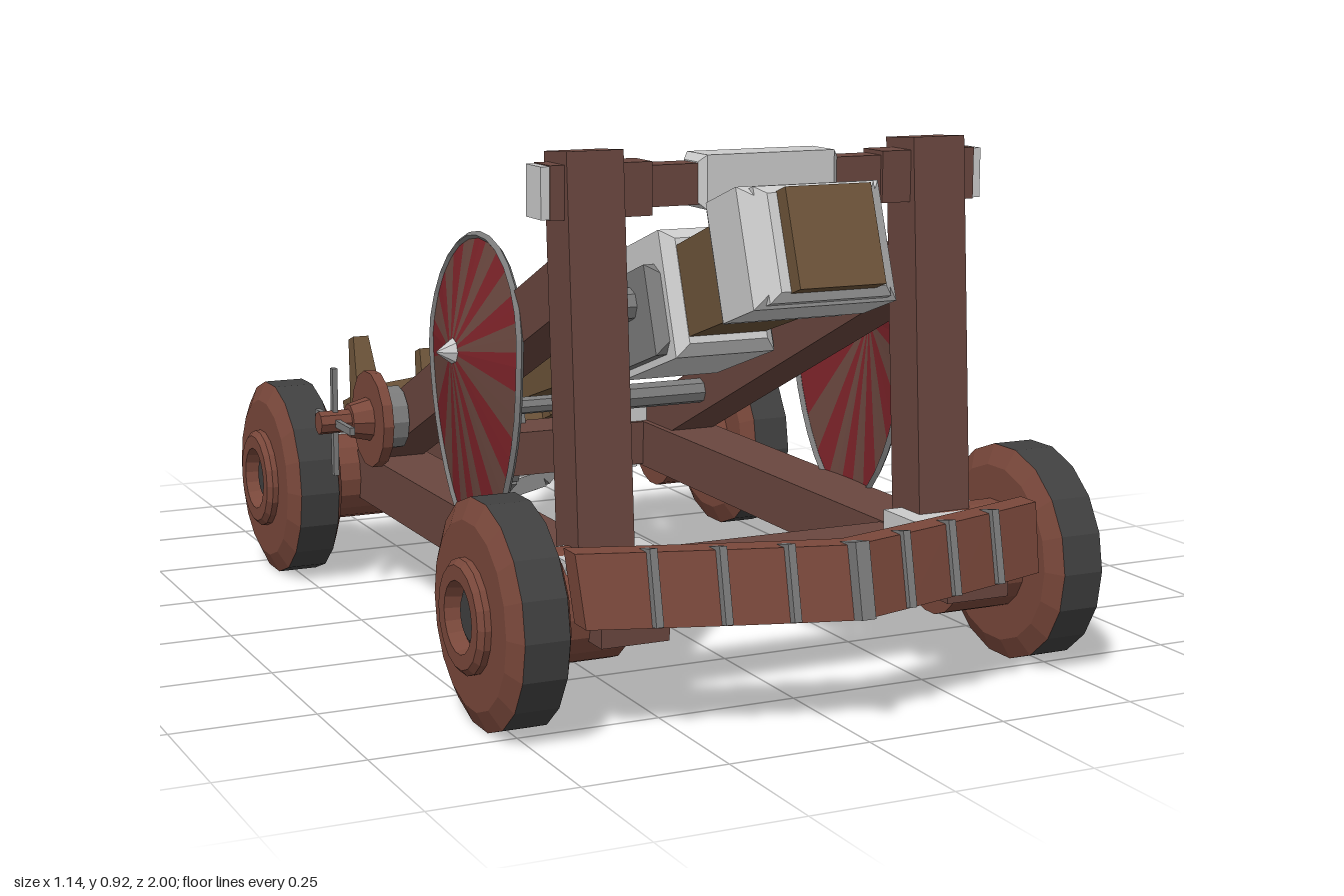
import * as THREE from 'three';

const mat = (color) => new THREE.MeshStandardMaterial({ color, flatShading: true, side: THREE.DoubleSide });
const WOOD = mat(0x6a473f), HUB = mat(0x7a483b), ARM = mat(0x6e553a), RED = mat(0x7c2329);
const STEEL = mat(0xcccccc), IRON = mat(0x7c7c7c), TYRE = mat(0x404040);
const V = (x, y, z) => new THREE.Vector3(x, y, z);

function add(parent, name, geo, material, x = 0, y = 0, z = 0) {
  const m = new THREE.Mesh(geo, material);
  m.name = name;
  m.position.set(x, y, z);
  parent.add(m);
  return m;
}
const box = (p, name, material, w, h, d, x, y, z) => add(p, name, new THREE.BoxGeometry(w, h, d), material, x, y, z);

// Square bar of width w and height h between two points
function bar(p, name, material, a, b, w, h) {
  const m = box(p, name, material, w, h, a.distanceTo(b), 0, 0, 0);
  m.position.copy(a).add(b).multiplyScalar(0.5);
  m.quaternion.setFromUnitVectors(V(0, 0, 1), b.clone().sub(a).normalize());
  return m;
}

// Round rod along x
function rod(p, name, material, x0, x1, y, z, r0, r1 = r0, sides = 8) {
  const geo = new THREE.CylinderGeometry(r1, r0, x1 - x0, sides).rotateZ(-Math.PI / 2);
  return add(p, name, geo, material, (x0 + x1) / 2, y, z);
}

// Box with bevelled edges at both z ends
function bevelBox(w, h, d, c) {
  const a = w / 2 - c, b = h / 2 - c;
  const s = new THREE.Shape([[-a, -b], [a, -b], [a, b], [-a, b]].map((q) => new THREE.Vector2(...q)));
  const geo = new THREE.ExtrudeGeometry(s, { depth: d - 2 * c, bevelEnabled: true, bevelSize: c, bevelThickness: c, bevelSegments: 1 });
  return geo.translate(0, 0, c - d / 2);
}

function lathe(points) {
  return new THREE.LatheGeometry(points.map((q) => new THREE.Vector2(...q)), 18).rotateZ(-Math.PI / 2);
}

// Wheel with dark tread, bevelled wooden sides and recessed hub
function wheel(parent, side, z) {
  const g = new THREE.Group();
  g.name = 'wheel';
  add(g, 'tread', lathe([[0.19, -0.038], [0.19, 0.038]]), TYRE);
  add(g, 'wheelSides', lathe([[0.09, -0.055], [0.155, -0.055], [0.19, -0.038]]), HUB);
  add(g, 'wheelFace', lathe([[0.19, 0.038], [0.155, 0.055], [0.09, 0.055]]), HUB);
  add(g, 'hub', lathe([[0, -0.185], [0.095, -0.185], [0.095, 0.066], [0.085, 0.075], [0.06, 0.075], [0.055, 0.045]]), HUB);
  add(g, 'axleEnd', lathe([[0.055, 0.047], [0.04, 0.055], [0, 0.055]]), TYRE);
  g.position.set(side * 0.495, 0.19, z);
  if (side < 0) g.rotation.y = Math.PI;
  parent.add(g);
}

// Teardrop shield: shallow cone with alternating red and wooden sectors
function shield(parent, side) {
  const g = new THREE.Group();
  g.name = 'shield';
  const N = 48;
  const rim = (i) => {
    const t = (i / N) * Math.PI * 2, c = Math.cos(t), s = Math.sin(t);
    const y = s > 0 ? 0.2 * s : 0.345 * s;
    const z = s > 0 ? 0.205 * c : 0.205 * c * (1 - 0.18 * s * s);
    return [-0.045 + (s > 0 ? -0.015 * s : 0), y, z];
  };
  [RED, WOOD].forEach((m, k) => {
    const pos = [];
    for (let i = 0; i < N; i++) {
      if (Math.floor(((i + 1) % N) / 2) % 2 === k) pos.push(0, 0, 0, ...rim(i + 1), ...rim(i));
    }
    const geo = new THREE.BufferGeometry();
    geo.setAttribute('position', new THREE.Float32BufferAttribute(pos, 3));
    geo.computeVertexNormals();
    add(g, k ? 'woodSectors' : 'redSectors', geo, m);
  });
  const edge = Array.from({ length: N / 2 }, (_, i) => V(...rim(i * 2)));
  add(g, 'shieldRim', new THREE.TubeGeometry(new THREE.CatmullRomCurve3(edge, true), 32, 0.007, 4, true), IRON);
  rod(g, 'boss', STEEL, -0.005, 0.025, 0, 0, 0.024, 0.002);
  g.position.set(side * 0.42, 0.545, 0.265);
  g.scale.x = side;
  parent.add(g);
}

// Throwing arm with counterweight, pivot sleeve and basket; it runs along local -z
function throwingArm(parent) {
  const g = new THREE.Group();
  g.name = 'throwingArm';
  g.position.set(0, 0.795, 0.868);
  g.rotation.x = -0.335;
  parent.add(g);

  const beam = new THREE.BoxGeometry(1, 1, 1.46, 1, 1, 6).translate(0, 0, -0.73);
  const p = beam.attributes.position;
  for (let i = 0; i < p.count; i++) {
    const t = Math.max(0, -p.getZ(i) - 0.4) / 1.06;
    p.setX(i, p.getX(i) * (0.155 - 0.115 * t));
    p.setY(i, p.getY(i) * (0.165 - 0.085 * t));
  }
  add(g, 'beam', beam, ARM);
  add(g, 'counterweight', bevelBox(0.26, 0.2, 0.16, 0.025), STEEL, 0, 0, -0.12);
  add(g, 'counterweightCollar', bevelBox(0.22, 0.19, 0.2, 0.015), STEEL, 0, 0, -0.13);
  add(g, 'pivotSleeve', bevelBox(0.19, 0.225, 0.27, 0.02), STEEL, 0, 0, -0.55);
  add(g, 'pivotCollar', bevelBox(0.23, 0.16, 0.2, 0.02), IRON, 0, -0.02, -0.55);

  const basket = new THREE.Group();
  basket.name = 'basket';
  basket.position.set(0, 0.005, -1.68);
  g.add(basket);
  // Octagonal hoop
  const octagon = (r) => Array.from({ length: 8 }, (_, i) => {
    const a = ((i + 0.5) * Math.PI) / 4, R = r / Math.cos(Math.PI / 8);
    return new THREE.Vector2(R * Math.cos(a), R * Math.sin(a));
  });
  const hoop = new THREE.Shape(octagon(0.25));
  hoop.holes.push(new THREE.Path(octagon(0.205)));
  add(basket, 'hoop', new THREE.ExtrudeGeometry(hoop, { depth: 0.08, bevelEnabled: false }).rotateX(-Math.PI / 2), ARM, 0, -0.04, 0);
  for (let k = 0; k < 4; k++) {
    const q = new THREE.Group();
    q.name = 'basketQuarter';
    q.rotation.y = (k * Math.PI) / 2;
    basket.add(q);
    // Tapered prong and its fitting
    const prong = new THREE.CylinderGeometry(0.024, 0.045, 0.2, 4).rotateY(Math.PI / 4);
    add(q, 'prong', prong, ARM, 0, 0.06, 0.232);
    box(q, 'fitting', IRON, 0.05, 0.05, 0.025, 0, -0.01, 0.253);
    // Iron strap curving under the basket
    const path = [V(0, -0.02, 0.225), V(0, -0.11, 0.215), V(0, -0.185, 0.14), V(0, -0.215, 0)];
    for (let i = 0; i < 3; i++) bar(q, 'strap', IRON, path[i], path[i + 1], 0.06, 0.035);
  }
}

// Bowed ram of angled planks with iron ribs
function ram(parent) {
  const bow = (x) => 0.935 - 0.27 * Math.abs(x) - 0.08 * x * x;
  const n = 8, step = 0.106;
  for (let i = 0; i < n; i++) {
    const x0 = (i - n / 2) * step, x1 = x0 + step;
    const plank = new THREE.BoxGeometry(1, 0.117, 0.045);
    const p = plank.attributes.position;
    for (let j = 0; j < p.count; j++) {
      const x = p.getX(j) < 0 ? x0 : x1, y = p.getY(j);
      p.setXYZ(j, x * (1 + 0.15 * y), y, p.getZ(j) + bow(x) - y * 0.22);
    }
    add(parent, 'ramPlank', plank, HUB, 0, 0.253, 0);
  }
  for (let i = -3; i <= 3; i++) {
    const x = i * 0.105, z = bow(x);
    const rib = box(parent, 'ramRib', IRON, i ? 0.013 : 0.025, 0.124, i ? 0.06 : 0.08, x, 0.253, z + 0.005);
    rib.rotation.x = -0.21;
  }
}

export function createModel() {
  const g = new THREE.Group();
  g.name = 'catapult';

  for (const s of [-1, 1]) {
    wheel(g, s, 0.675);
    wheel(g, s, -0.435);
    shield(g, s);
    box(g, 'sideRail', WOOD, 0.12, 0.095, 1.37, s * 0.32, 0.198, 0.125);
    // Upright, diagonal brace and steel corner saddles
    bar(g, 'upright', WOOD, V(s * 0.32, 0.2, 0.66), V(s * 0.32, 0.92, 0.61), 0.1, 0.09);
    bar(g, 'brace', WOOD, V(s * 0.32, 0.7, 0.6), V(s * 0.32, 0.225, -0.42), 0.095, 0.09);
    for (const [z, d] of [[0.69, 0.1], [-0.455, 0.13]]) {
      box(g, 'saddleTop', STEEL, 0.175, 0.035, d, s * 0.322, 0.262, z);
      box(g, 'saddleInner', STEEL, 0.022, 0.13, d * 0.8, s * 0.246, 0.21, z);
    }
    // Outer half of the top bar, its taper and end cap
    box(g, 'topBarEnd', WOOD, 0.18, 0.088, 0.065, s * 0.305, 0.857, 0.615);
    bar(g, 'topBarNeck', WOOD, V(s * 0.23, 0.86, 0.615), V(s * 0.1, 0.86, 0.615), 0.052, 0.068);
    box(g, 'topBarCap', STEEL, 0.016, 0.085, 0.06, s * 0.402, 0.857, 0.615);
  }
  const sleeve = add(g, 'topBarSleeve', bevelBox(0.075, 0.09, 0.26, 0.012), STEEL, 0, 0.863, 0.615);
  sleeve.rotation.y = Math.PI / 2;

  // Cross beams and pivot axle
  box(g, 'frontBeam', WOOD, 0.77, 0.09, 0.11, 0, 0.198, 0.64);
  box(g, 'rearBeam', WOOD, 0.82, 0.09, 0.12, 0, 0.2, -0.44);
  rod(g, 'pivotAxle', IRON, -0.37, 0.37, 0.62, 0.35, 0.03);

  // Winch
  rod(g, 'winchRod', IRON, -0.4, 0, 0.352, -0.142, 0.017);
  rod(g, 'winchDrum', IRON, 0, 0.41, 0.352, -0.142, 0.025);
  rod(g, 'winchPlate', IRON, -0.405, -0.37, 0.352, -0.142, 0.06, 0.06, 12);
  rod(g, 'winchDisc', HUB, -0.432, -0.412, 0.352, -0.142, 0.092, 0.092, 14);
  rod(g, 'winchHub', HUB, -0.47, -0.4, 0.352, -0.142, 0.032, 0.05, 10);
  rod(g, 'winchHandle', HUB, -0.53, -0.46, 0.352, -0.142, 0.022);
  for (const a of [0, Math.PI / 2]) {
    const spoke = box(g, 'winchSpoke', IRON, 0.01, 0.205, 0.014, -0.498, 0.352, -0.142);
    spoke.rotation.x = a;
  }

  throwingArm(g);
  ram(g);
  return g;
}
